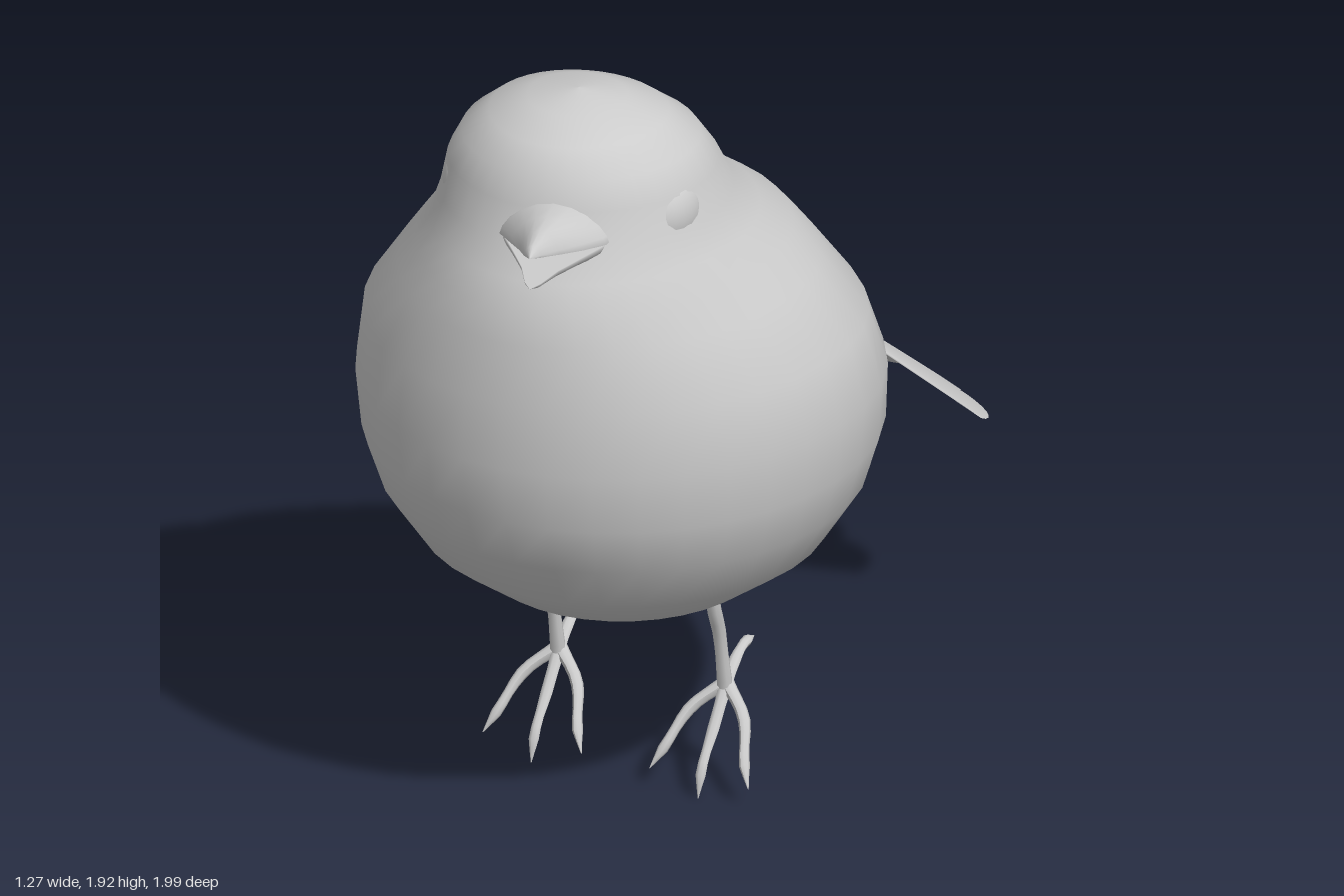
import * as THREE from 'three';

const material = new THREE.MeshStandardMaterial({ color: 0xcccccc, side: THREE.DoubleSide });
const V = (x, y, z) => new THREE.Vector3(x, y, z);

function part(name, geometry, parent) {
  const mesh = new THREE.Mesh(geometry, material);
  mesh.name = name;
  parent.add(mesh);
  return mesh;
}

// Skin over closed rings of points, each counterclockwise seen from the end of the loft
function loft(rings) {
  const n = rings[0].length, index = [];
  for (let i = 0; i < rings.length - 1; i++) {
    for (let j = 0; j < n; j++) {
      const a = i * n + j, b = i * n + (j + 1) % n;
      index.push(a, b, b + n, a, b + n, a + n);
    }
  }
  const geometry = new THREE.BufferGeometry().setFromPoints(rings.flat());
  geometry.setIndex(index);
  geometry.computeVertexNormals();
  return geometry;
}

const ring = (n, fn) => Array.from({ length: n }, (_, j) => fn(j / n * Math.PI * 2));

// Tube through points whose radius tapers along the given values
function taperedTube(points, radii) {
  const curve = new THREE.CatmullRomCurve3(points, false, 'centripetal');
  const steps = 10, sides = 8;
  const geometry = new THREE.TubeGeometry(curve, steps, 1, sides);
  const pos = geometry.attributes.position, p = V(0, 0, 0);
  for (let i = 0; i <= steps; i++) {
    const centre = curve.getPointAt(i / steps);
    const t = i / steps * (radii.length - 1), k = Math.min(Math.floor(t), radii.length - 2);
    const r = THREE.MathUtils.lerp(radii[k], radii[k + 1], t - k);
    for (let j = 0; j <= sides; j++) {
      const id = i * (sides + 1) + j;
      p.fromBufferAttribute(pos, id).sub(centre).multiplyScalar(r).add(centre);
      pos.setXYZ(id, p.x, p.y, p.z);
    }
  }
  geometry.computeVertexNormals();
  return geometry;
}

function ellipsoid(name, parent, centre, direction, width, thickness, length) {
  const mesh = part(name, new THREE.SphereGeometry(1, 24, 16), parent);
  mesh.position.copy(centre);
  mesh.lookAt(centre.clone().add(direction));
  mesh.scale.set(width, thickness, length);
  return mesh;
}

// Body and head: y, widest z, front z, back z, half width, rear pointedness
const bodyRings = [
  [0.5, 0.23, 0.23, 0.23, 0, 1],
  [0.503, 0.23, 0.33, 0.13, 0.1, 1],
  [0.525, 0.24, 0.43, 0.02, 0.2, 1],
  [0.57, 0.25, 0.6, -0.13, 0.34, 1.1],
  [0.68, 0.25, 0.75, -0.31, 0.49, 1.25],
  [0.82, 0.25, 0.85, -0.45, 0.58, 1.4],
  [0.95, 0.25, 0.9, -0.5, 0.62, 1.5],
  [1.1, 0.25, 0.92, -0.46, 0.633, 1.5],
  [1.27, 0.27, 0.915, -0.32, 0.605, 1.35],
  [1.42, 0.3, 0.895, -0.18, 0.5, 1.15],
  [1.5, 0.34, 0.875, -0.1, 0.44, 1],
  [1.57, 0.4, 0.845, 0, 0.385, 1],
  [1.64, 0.43, 0.8, 0.08, 0.347, 1],
  [1.73, 0.45, 0.775, 0.145, 0.325, 1],
  [1.8, 0.46, 0.75, 0.2, 0.287, 1],
  [1.86, 0.47, 0.7, 0.28, 0.215, 1],
  [1.9, 0.48, 0.61, 0.37, 0.12, 1],
  [1.915, 0.48, 0.48, 0.48, 0, 1],
];

function buildBody(bird) {
  const rings = bodyRings.map(([y, zc, zf, zb, rx, p]) => ring(36, a => {
    const s = Math.sin(a), c = Math.cos(a);
    const x = Math.sign(s) * Math.pow(Math.abs(s), c < 0 ? p : 1) * rx;
    return V(x - (y > 1.6 ? 0.01 : 0), y, zc + c * (c > 0 ? zf - zc : zc - zb));
  }));
  part('body', loft(rings), bird);
}

// Eyes on a head turned slightly to its left
function buildEyes(bird) {
  ellipsoid('rightEye', bird, V(-0.235, 1.67, 0.585), V(-0.82, 0, 0.57), 0.1, 0.09, 0.075);
  ellipsoid('leftEye', bird, V(0.255, 1.67, 0.53), V(0.98, 0, 0.19), 0.1, 0.09, 0.065);
}

// Open beak; each section: z, half width, centre y, rise, drop
function buildBeak(bird) {
  const beak = new THREE.Group();
  beak.name = 'beak';
  beak.position.set(0.06, 0, 0.76);
  beak.rotation.y = 0.21;
  bird.add(beak);
  const halves = {
    upperBeak: [
      [-0.06, 0.145, 1.655, 0.09, 0.005], [0.01, 0.13, 1.657, 0.09, 0.005],
      [0.07, 0.09, 1.667, 0.078, 0], [0.14, 0.05, 1.685, 0.058, 0],
      [0.21, 0.022, 1.708, 0.028, 0.002], [0.245, 0, 1.718, 0, 0],
    ],
    lowerBeak: [
      [-0.06, 0.14, 1.65, 0.002, 0.06], [0.01, 0.122, 1.648, 0, 0.05],
      [0.07, 0.085, 1.643, 0, 0.036], [0.14, 0.046, 1.64, 0, 0.026],
      [0.21, 0.02, 1.637, 0, 0.013], [0.24, 0, 1.635, 0, 0],
    ],
  };
  for (const [name, sections] of Object.entries(halves)) {
    part(name, loft(sections.map(([z, w, y, up, down]) => ring(20, a => {
      const s = Math.sin(a);
      return V(w * Math.cos(a), y + (s > 0 ? up * Math.pow(s, 1.4) : down * s), z);
    }))), beak);
  }
}

// Fan of five round-tipped feathers between six edge lines, with coverts over the root
function buildTail(bird) {
  const tail = new THREE.Group();
  tail.name = 'tail';
  bird.add(tail);
  const ends = [
    V(-0.35, 0.625, -0.72), V(-0.2, 0.6, -0.88), V(-0.02, 0.585, -0.94),
    V(0.175, 0.585, -0.94), V(0.355, 0.6, -0.84), V(0.485, 0.62, -0.69),
  ];
  const roots = ends.map((_, i) => V(-0.06 + 0.04 * i, 1.05 - 0.006 * (i - 2.5) ** 2, -0.39));
  const steps = 10;
  for (let i = 0; i < 5; i++) {
    const rings = [];
    for (let k = 0; k <= steps; k++) {
      const v = k / steps;
      rings.push(ring(20, a => {
        const u = 0.5 - 0.5 * Math.cos(a);
        const round = Math.pow(Math.max(0, Math.sin(Math.PI * u)), 0.7);
        const p = roots[i].clone().lerp(roots[i + 1], u);
        const end = ends[i].clone().lerp(ends[i + 1], u);
        p.lerp(end, v * (1 + 0.09 * round));
        p.y += 0.012 * Math.sin(a) * Math.sqrt(1 - v) + 0.008 * v * round;
        return p;
      }));
    }
    part('tailFeather', loft(rings), tail);
  }
  ellipsoid('centreCovert', tail, V(0.045, 1.13, -0.41), V(0, -0.25, -0.22), 0.095, 0.045, 0.165);
  for (const s of [-1, 1]) {
    ellipsoid('sideCovert', tail, V(0.04 + s * 0.11, 1.08, -0.36),
      V(-s * 0.06, -0.13, -0.15), 0.07, 0.035, 0.11);
  }
}

// Leg with three front toes and a raised hind toe
function buildLeg(bird, side) {
  const leg = new THREE.Group();
  leg.name = side > 0 ? 'leftLeg' : 'rightLeg';
  leg.position.x = side * 0.22;
  bird.add(leg);
  part('shank', taperedTube(
    [V(0, 0.56, 0.24), V(0, 0.44, 0.21), V(0, 0.41, 0.195), V(0, 0.22, 0.155)],
    [0.015, 0.018, 0.016, 0.02]), leg);
  const toeRadii = [0.018, 0.015, 0.015, 0.012, 0.013, 0.001];
  part('middleToe', taperedTube(
    [V(0, 0.24, 0.15), V(0, 0.15, 0.22), V(0, 0.07, 0.285), V(0, 0, 0.305)], toeRadii), leg);
  for (const s of [-1, 1]) {
    part('sideToe', taperedTube(
      [V(0, 0.24, 0.15), V(s * 0.07, 0.18, 0.2), V(s * 0.105, 0.1, 0.27), V(s * 0.13, 0.05, 0.3)],
      toeRadii), leg);
  }
  part('hindToe', taperedTube(
    [V(0, 0.23, 0.16), V(0, 0.28, 0.1), V(0, 0.3, 0.05), V(0, 0.295, 0)], toeRadii), leg);
}

export function createModel() {
  const bird = new THREE.Group();
  bird.name = 'bird';
  buildBody(bird);
  buildEyes(bird);
  buildBeak(bird);
  buildTail(bird);
  for (const side of [-1, 1]) buildLeg(bird, side);
  return bird;
}
